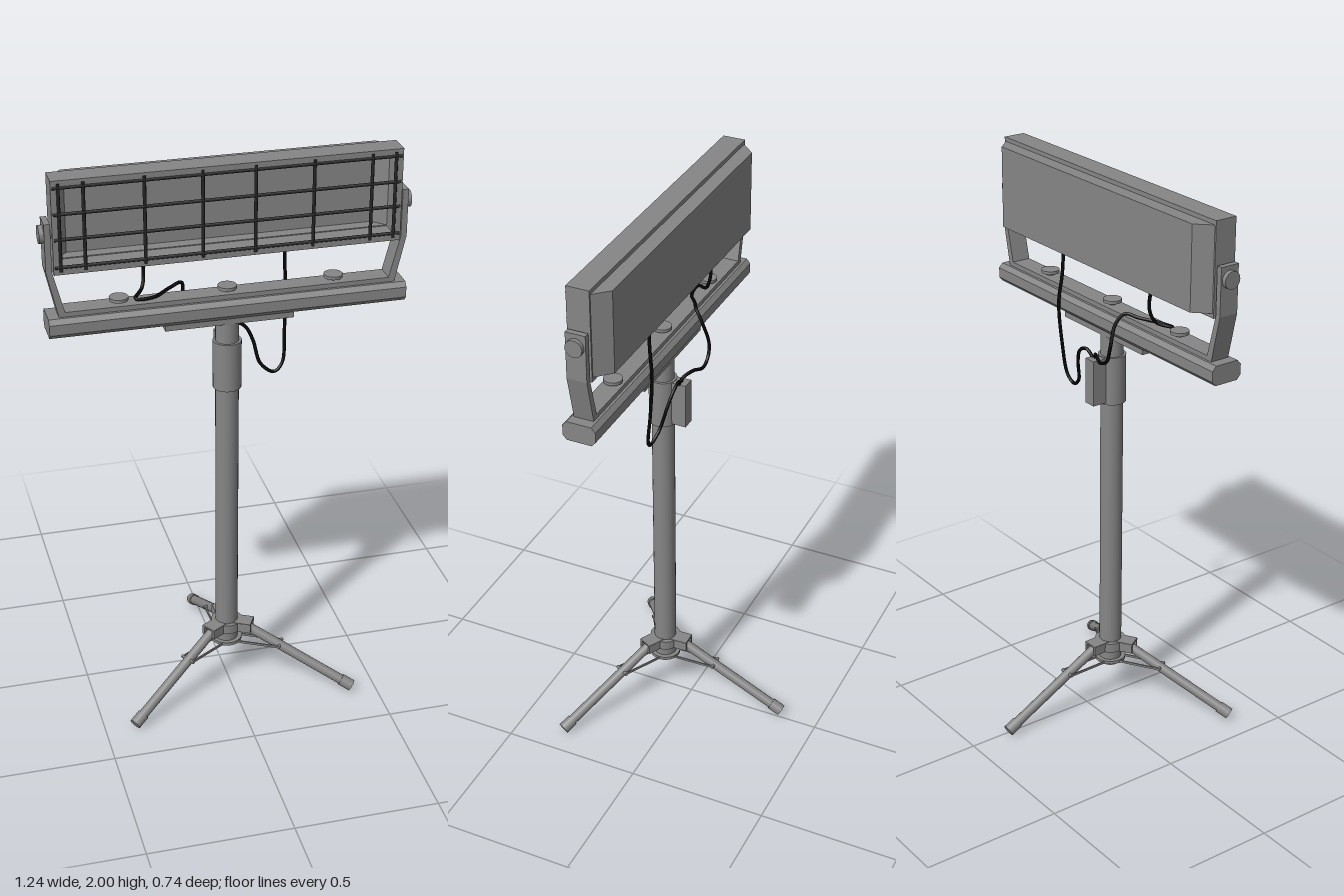
import * as THREE from 'three';

const paint = color => new THREE.MeshStandardMaterial({ color, side: THREE.DoubleSide });
const GREY = paint(0x868686);
const WIRE = paint(0x242424);
const BLACK = paint(0x050505);
const ZC = 0.107; // depth of the pole axis
const V = (x, y, z) => new THREE.Vector3(x, y, z);

function add(parent, name, geo, x = 0, y = 0, z = 0, mat = GREY) {
  const m = new THREE.Mesh(geo, mat);
  m.name = name;
  m.position.set(x, y, z);
  parent.add(m);
  return m;
}
const box = (p, name, w, h, d, x, y, z) => add(p, name, new THREE.BoxGeometry(w, h, d), x, y, z);

// Vertical cylinder between two heights
const post = (p, name, r0, r1, y0, y1, x = 0) =>
  add(p, name, new THREE.CylinderGeometry(r1, r0, y1 - y0, 24), x, (y0 + y1) / 2, ZC);

// Round rod between two points
function rod(p, name, a, b, r, sides = 16, mat = GREY) {
  const m = add(p, name, new THREE.CylinderGeometry(r, r, a.distanceTo(b), sides), 0, 0, 0, mat);
  m.position.copy(a).add(b).multiplyScalar(0.5);
  m.quaternion.setFromUnitVectors(V(0, 1, 0), b.clone().sub(a).normalize());
}
const toShape = pts => new THREE.Shape(pts.map(q => new THREE.Vector2(q[0], q[1])));
const extrude = (shape, depth) => new THREE.ExtrudeGeometry(shape, { depth, bevelEnabled: false });

function makeLamp() {
  const g = new THREE.Group();
  g.name = 'lampHead';
  // Open front frame
  const rect = (w, y0, y1) => [[-w, y0], [w, y0], [w, y1], [-w, y1]];
  const frame = toShape(rect(0.58, 1.68, 2));
  frame.holes.push(toShape(rect(0.56, 1.7, 1.98)));
  add(g, 'frontFrame', extrude(frame, 0.08), 0, 0, 0.067);
  // Rear housing, a hollow tray with sloping ends (shape y is -z)
  const outline = [[-0.575, -0.068], [-0.525, -0.017], [0.525, -0.017], [0.575, -0.068]];
  const tray = toShape([...outline,
    [0.56, -0.068], [0.517, -0.026], [-0.517, -0.026], [-0.56, -0.068]]);
  add(g, 'rearHousing', extrude(tray, 0.29).rotateX(-Math.PI / 2), 0, 1.695, 0);
  for (const y of [1.695, 1.977])
    add(g, 'housingPlate', extrude(toShape(outline), 0.008).rotateX(-Math.PI / 2), 0, y, 0);
  // Wire guard
  for (const x of [-0.556, -0.476, -0.28, -0.09, 0.085, 0.28, 0.476, 0.556])
    rod(g, 'guardUpright', V(x, 1.69, 0.145), V(x, 1.99, 0.145), 0.006, 8, WIRE);
  for (const y of [1.705, 1.8, 1.886, 1.975])
    rod(g, 'guardRail', V(-0.575, y, 0.145), V(0.575, y, 0.145), 0.006, 8, WIRE);
  // Pivot knobs
  for (const s of [-1, 1]) {
    rod(g, 'pivotBolt', V(s * 0.565, 1.81, ZC), V(s * 0.61, 1.81, ZC), 0.018);
    rod(g, 'pivotKnob', V(s * 0.603, 1.81, ZC), V(s * 0.62, 1.81, ZC), 0.03, 20);
  }
  return g;
}

function makeSupport() {
  const g = new THREE.Group();
  g.name = 'lampSupport';
  // U-shaped bracket
  const outer = [[0.605, 1.855], [0.605, 1.69], [0.568, 1.525]];
  const inner = [[0.548, 1.545], [0.585, 1.69], [0.585, 1.855]];
  const mirror = pts => pts.map(([x, y]) => [-x, y]).reverse();
  const u = toShape([...outer, ...mirror(outer), ...mirror(inner), ...inner]);
  add(g, 'bracket', extrude(u, 0.07), 0, 0, ZC - 0.035);
  // Chamfered crossbar
  const a = 0.058, b = 0.034, c = 0.044, d = 0.018;
  const bar = toShape([[-c, -b], [c, -b], [a, -d], [a, d], [c, b], [-c, b], [-a, d], [-a, -d]]);
  add(g, 'crossbar', extrude(bar, 1.21).rotateY(Math.PI / 2), -0.605, 1.495, ZC);
  box(g, 'mountingPlate', 0.44, 0.026, 0.08, 0, 1.452, ZC);
  // Bracket bolts
  for (const x of [-0.365, 0, 0.365]) {
    post(g, 'boltStem', 0.013, 0.013, 1.54, 1.557, x);
    post(g, 'boltHead', 0.032, 0.032, 1.554, 1.565, x);
  }
  return g;
}

function makeStand() {
  const g = new THREE.Group();
  g.name = 'stand';
  post(g, 'pole', 0.04, 0.04, 0.165, 1.445);
  post(g, 'poleEnd', 0.034, 0.038, 0.14, 0.167);
  post(g, 'collar', 0.049, 0.049, 1.19, 1.365);
  box(g, 'controlBox', 0.046, 0.165, 0.055, 0, 1.28, 0.039);
  post(g, 'hub', 0.055, 0.055, 0.205, 0.24);
  post(g, 'strutRing', 0.055, 0.055, 0.155, 0.167);
  // Three legs, each built along +x and turned round the pole
  for (let i = 0; i < 3; i++) {
    const leg = new THREE.Group();
    leg.name = 'leg';
    leg.position.z = ZC;
    leg.rotation.y = -THREE.MathUtils.degToRad(28.1 + 120 * i);
    const top = V(0.06, 0.225, 0), end = V(0.467, 0.019, 0);
    const at = t => top.clone().lerp(end, t);
    rod(leg, 'legTube', top, at(0.95), 0.0175);
    rod(leg, 'foot', at(0.9), end, 0.021);
    box(leg, 'legSocketTop', 0.07, 0.006, 0.056, 0.06, 0.239, 0);
    for (const s of [-1, 1]) {
      box(leg, 'legSocketCheek', 0.07, 0.035, 0.009, 0.06, 0.2225, s * 0.024);
      box(leg, 'strut', 0.17, 0.008, 0.005, 0.12, 0.16, s * 0.024);
      rod(leg, 'strutPin', V(0.2, 0.16, s * 0.012), V(0.2, 0.16, s * 0.029), 0.006, 8);
    }
    g.add(leg);
  }
  return g;
}

// Loose power cables
function makeCables() {
  const g = new THREE.Group();
  g.name = 'cables';
  const paths = [
    [[-0.28, 1.7, 0.055], [-0.27, 1.62, 0.055], [-0.28, 1.573, 0.075], [-0.312, 1.556, 0.12],
      [-0.25, 1.553, 0.115], [-0.19, 1.56, 0.075], [-0.145, 1.566, 0.05], [-0.13, 1.53, 0.022],
      [-0.135, 1.45, -0.003], [-0.12, 1.4, -0.005], [-0.08, 1.382, -0.004], [-0.04, 1.39, 0.012],
      [0, 1.375, 0.035], [0, 1.35, 0.04]],
    [[0.21, 1.7, 0.055], [0.213, 1.6, 0.05], [0.22, 1.5, 0.04], [0.216, 1.35, 0.05],
      [0.205, 1.23, 0.065], [0.175, 1.203, 0.07], [0.13, 1.235, 0.06], [0.107, 1.32, 0.04],
      [0.08, 1.37, 0.03], [0.04, 1.385, 0.03], [0.01, 1.35, 0.04]],
  ];
  for (const p of paths) {
    const curve = new THREE.CatmullRomCurve3(p.map(q => V(...q)));
    add(g, 'cable', new THREE.TubeGeometry(curve, 90, 0.006, 8), 0, 0, 0, BLACK);
  }
  return g;
}

export function createModel() {
  const model = new THREE.Group();
  model.name = 'floodlightStand';
  model.add(makeLamp(), makeSupport(), makeStand(), makeCables());
  return model;
}
